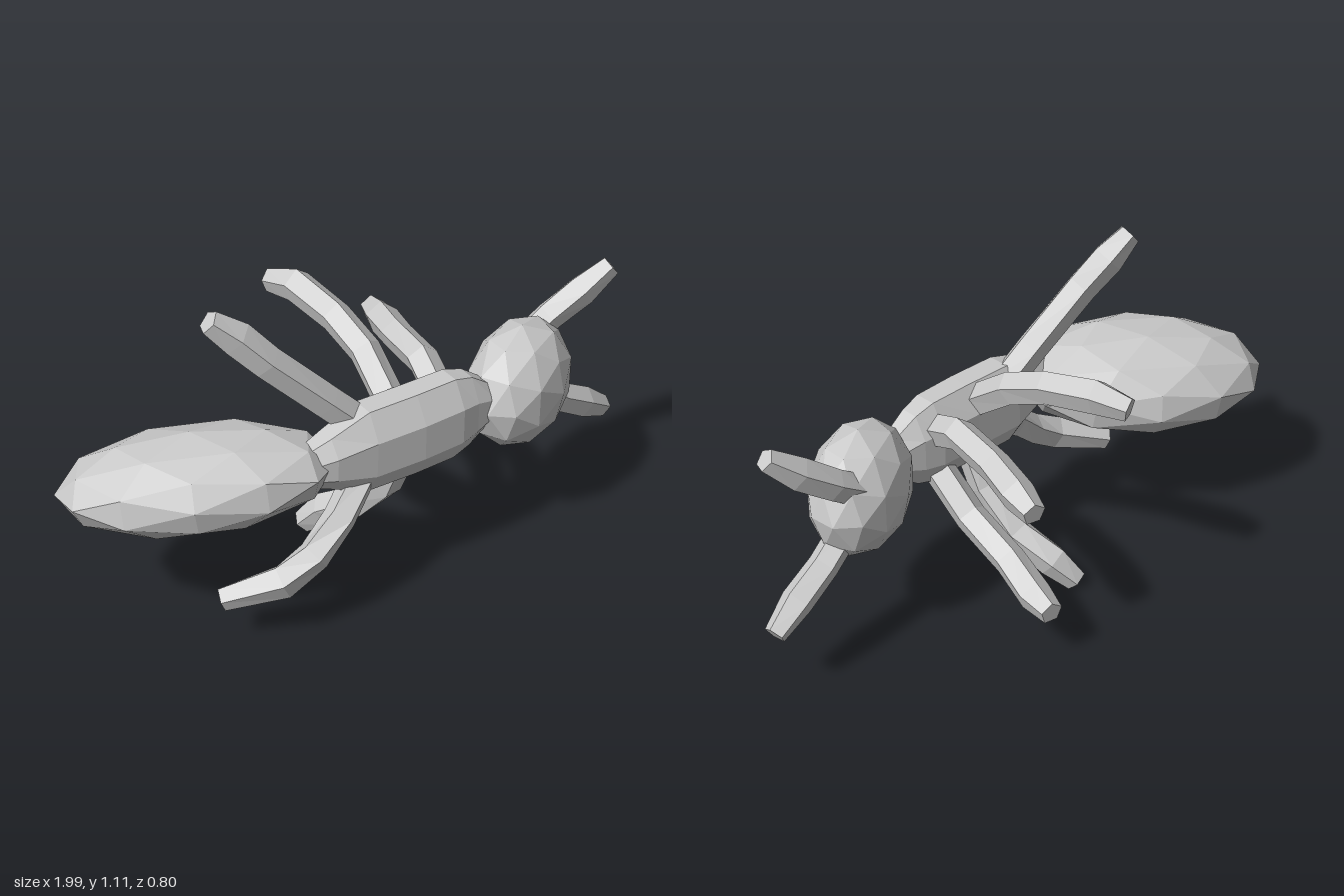
import * as THREE from 'three';

const material = new THREE.MeshStandardMaterial({ color: 0xcccccc, flatShading: true });

// Closed faceted limb through sections [x, y, z, sideRadius, upRadius]
function loft(name, sections, sides, turn = 0) {
  const centres = sections.map(s => new THREE.Vector3(s[0], s[1], s[2]));
  const last = centres.length - 1;
  const up = new THREE.Vector3(0, 1, 0);
  const pos = [], index = [];
  centres.forEach((c, i) => {
    const t = centres[Math.min(i + 1, last)].clone().sub(centres[Math.max(i - 1, 0)]).normalize();
    const u = t.clone().cross(up).normalize();
    const v = u.clone().cross(t);
    for (let j = 0; j < sides; j++) {
      const a = turn + (j / sides) * Math.PI * 2;
      const p = c.clone()
        .addScaledVector(u, Math.cos(a) * sections[i][3])
        .addScaledVector(v, Math.sin(a) * sections[i][4]);
      pos.push(p.x, p.y, p.z);
    }
  });
  const startCap = pos.length / 3, endCap = startCap + 1;
  pos.push(...centres[0].toArray(), ...centres[last].toArray());
  for (let j = 0; j < sides; j++) {
    const k = (j + 1) % sides;
    for (let i = 0; i < last; i++) {
      const a = i * sides, b = a + sides;
      index.push(a + j, b + j, a + k, a + k, b + j, b + k);
    }
    index.push(startCap, j, k, endCap, last * sides + k, last * sides + j);
  }
  const geo = new THREE.BufferGeometry();
  geo.setAttribute('position', new THREE.Float32BufferAttribute(pos, 3));
  geo.setIndex(index);
  geo.computeVertexNormals();
  const mesh = new THREE.Mesh(geo, material);
  mesh.name = name;
  return mesh;
}

// Faceted ellipsoid for the rounded body segments
function blob(name, centre, radii, tilt, yaw) {
  const mesh = new THREE.Mesh(new THREE.IcosahedronGeometry(1, 1), material);
  mesh.name = name;
  mesh.position.set(...centre);
  mesh.scale.set(...radii);
  mesh.rotation.set(tilt, yaw, 0);
  return mesh;
}

// Limb with a thick middle and a narrower blunt tip
function limb(name, points, radius) {
  const n = points.length - 1;
  const sections = points.map((p, i) => {
    const r = radius * (i === n ? 0.72 : i === n - 1 ? 1.05 : 1);
    return [...p, r, r];
  });
  return loft(name, sections, 5, Math.PI / 2);
}

export function createModel() {
  const ant = new THREE.Group();
  ant.name = 'ant';

  // Body segments
  ant.add(blob('abdomen', [-0.6, 0.547, 0.095], [0.44, 0.158, 0.255], -0.21, -0.47));
  ant.add(blob('head', [0.545, 0.568, 0.178], [0.235, 0.215, 0.16], 0, 0.53));
  ant.add(loft('thorax', [
    [-0.34, 0.59, 0.27, 0.05, 0.06],
    [-0.24, 0.59, 0.265, 0.08, 0.1],
    [-0.1, 0.58, 0.25, 0.1, 0.16],
    [0.08, 0.58, 0.245, 0.1, 0.162],
    [0.23, 0.58, 0.235, 0.095, 0.162],
    [0.3, 0.58, 0.23, 0.08, 0.14],
    [0.38, 0.58, 0.23, 0.06, 0.08],
  ], 8, Math.PI / 8));

  // Six legs: an upper and a lower one at the rear, middle and front
  const legs = {
    rearUpperLeg: [[-0.08, 0.64, 0.23], [-0.2, 0.76, 0.205], [-0.38, 0.94, 0.16], [-0.46, 1.03, 0.125], [-0.54, 1.1, 0.105]],
    rearLowerLeg: [[-0.08, 0.51, 0.25], [-0.22, 0.4, 0.325], [-0.33, 0.31, 0.35], [-0.44, 0.25, 0.345], [-0.61, 0.19, 0.26]],
    middleUpperLeg: [[0.04, 0.66, 0.2], [0.035, 0.78, 0.04], [0.01, 0.84, -0.1], [-0.03, 0.875, -0.28], [-0.075, 0.855, -0.38]],
    middleLowerLeg: [[0.05, 0.5, 0.24], [0.04, 0.34, 0.17], [0.01, 0.2, 0.05], [-0.05, 0.115, -0.07], [-0.1, 0.04, -0.13]],
    frontUpperLeg: [[0.22, 0.62, 0.22], [0.24, 0.69, 0.06], [0.26, 0.675, -0.13], [0.29, 0.655, -0.27], [0.31, 0.64, -0.37]],
    frontLowerLeg: [[0.21, 0.48, 0.22], [0.2, 0.35, 0.06], [0.2, 0.28, -0.13], [0.22, 0.23, -0.27], [0.235, 0.22, -0.37]],
  };
  for (const [name, points] of Object.entries(legs)) ant.add(limb(name, points, 0.055));

  // Antennae
  ant.add(limb('upperAntenna', [[0.62, 0.64, 0.08], [0.72, 0.71, 0.08], [0.83, 0.79, 0.105], [0.925, 0.87, 0.13]], 0.052));
  ant.add(limb('lowerAntenna', [[0.64, 0.49, 0.13], [0.75, 0.4, 0.115], [0.87, 0.33, 0.1], [0.975, 0.265, 0.08]], 0.052));

  return ant;
}
